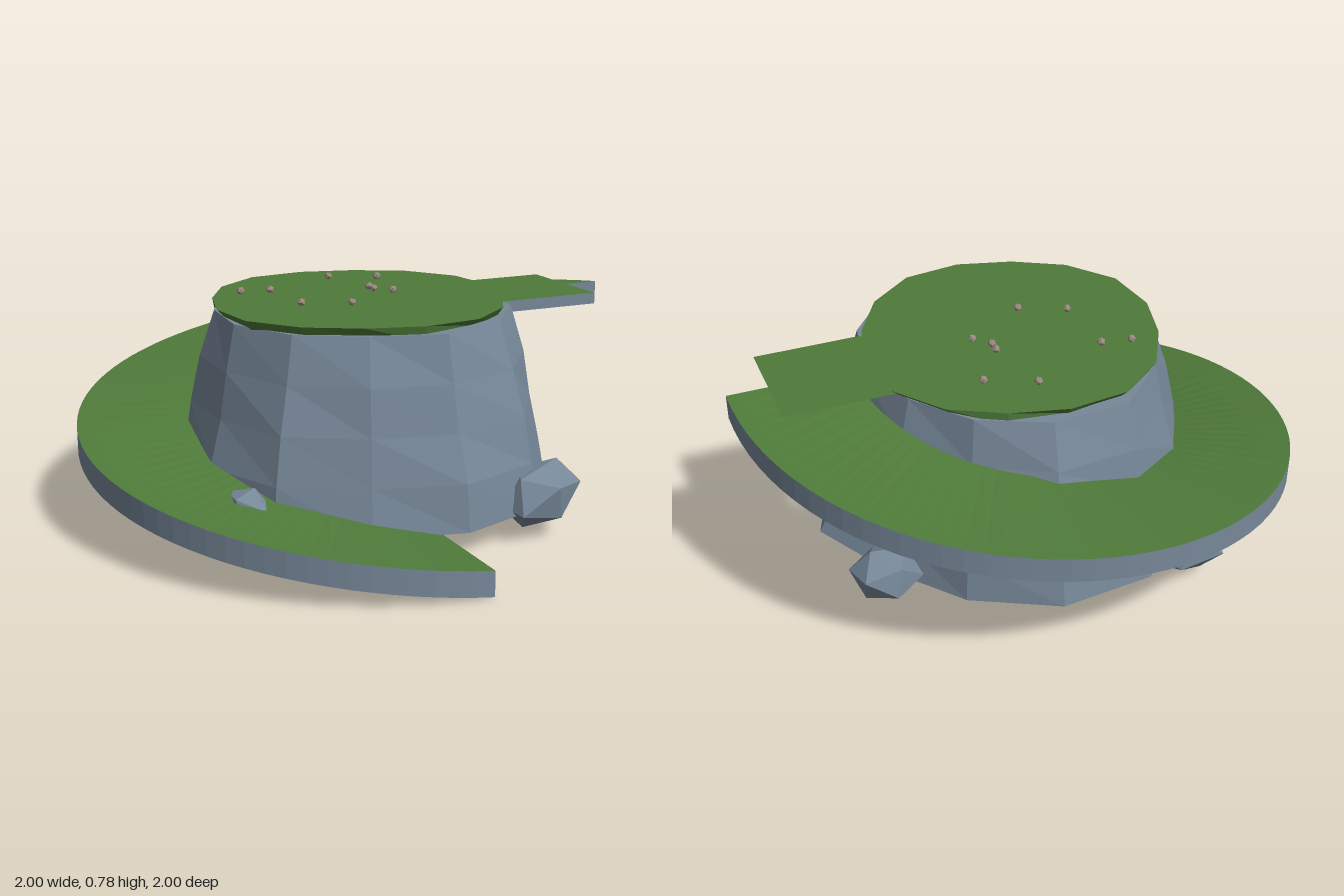
import * as THREE from 'three';

const V = (x, y, z) => new THREE.Vector3(x, y, z);
// point at an angle measured from +x towards +z
const polar = (r, y, deg) => {
  const t = THREE.MathUtils.degToRad(deg);
  return V(r * Math.cos(t), y, r * Math.sin(t));
};

// flat-shaded surface made of quad strips, each between two point rows [a, b]
function strips(pairs) {
  const pos = [];
  const tri = (p, q, r) => {
    if (p !== q && q !== r && p !== r) for (const v of [p, q, r]) pos.push(v.x, v.y, v.z);
  };
  for (const [a, b] of pairs) {
    for (let i = 0; i < a.length - 1; i++) {
      tri(a[i], b[i], b[i + 1]);
      tri(a[i], b[i + 1], a[i + 1]);
    }
  }
  const g = new THREE.BufferGeometry();
  g.setAttribute('position', new THREE.Float32BufferAttribute(pos, 3));
  g.computeVertexNormals();
  return g;
}

// closed ring of n points; radius and height come from functions of the index
function ring(n, radius, height) {
  const pts = [];
  for (let i = 0; i < n; i++) pts.push(polar(radius(i), height(i), (i * 360) / n));
  return [...pts, pts[0]];
}

export function createModel() {
  const group = new THREE.Group();
  const grass = new THREE.MeshStandardMaterial({ name: 'grass', color: 0x4f7a3a, side: THREE.DoubleSide });
  const rock = new THREE.MeshStandardMaterial({ name: 'rock', color: 0x778899 });
  const pebble = new THREE.MeshStandardMaterial({ name: 'pebble', color: 0x9a8a80 });
  const add = (name, geometry, material) => {
    const m = new THREE.Mesh(geometry, material);
    m.name = name;
    group.add(m);
    return m;
  };

  // Rock mound: thirteen sides, irregular base, narrowing upwards
  const base = [0.73, 0.68, 0.71, 0.695, 0.655, 0.68, 0.66, 0.655, 0.66, 0.71, 0.7, 0.66, 0.645];
  const taper = [1, 0.965, 0.91, 0.855, 0.79];
  const mound = taper.map((f, j) =>
    ring(13, (i) => base[i] * f + (j ? 0.008 * Math.sin(i * 2.3 + j * 1.7) : 0), () => 0.09 + j * 0.16));
  // the pointed foot on the +x side flares out only near the ground
  [0.73, 0.645, 0.6, 0.57, 0.53].forEach((r, j) => mound[j][0].setX(r));
  const centreRow = (row, y) => {
    const c = V(0, y, 0);
    return row.map(() => c);
  };
  const moundStrips = mound.slice(1).map((row, j) => [mound[j], row]);
  moundStrips.push([centreRow(mound[0], 0.09), mound[0]]);
  moundStrips.push([mound[4], centreRow(mound[4], 0.73)]);
  add('rockMound', strips(moundStrips), rock);

  // Grass cap with a ragged, drooping rim
  const capTop = ring(16, (i) => 0.53 + 0.015 * Math.sin(i * 1.6 + 3), () => 0.757);
  const capRim = ring(16, (i) => 0.505 + 0.012 * Math.sin(i * 2.1), (i) => 0.717 + 0.013 * Math.sin(i * 2.7));
  add('grassCap', strips([
    [capTop, centreRow(capTop, 0.757)],
    [capRim, capTop],
    [centreRow(capRim, 0.72), capRim],
  ]), grass);

  // Spiral ramp: three quarters of a turn, grass on top and rock beneath
  const N = 72, corners = [[1, 0.087], [0.575, 0.087], [0.575, 0], [1, 0]];
  const [ot, it, ib, ob] = corners.map(([r, dy]) =>
    Array.from({ length: N + 1 }, (_, i) => polar(r, dy + (0.645 * i) / N, 90 + (270 * i) / N)));
  add('rampGrass', strips([[ot, it]]), grass);
  add('rampRock', strips([
    [it, ib], [ib, ob], [ob, ot],
    [[ot[0], it[0]], [ob[0], ib[0]]],
    [[it[N], ot[N]], [ib[N], ob[N]]],
  ]), rock);

  // Thin landing joining the ramp to the cap
  const landing = new THREE.PlaneGeometry(0.38, 0.4).rotateX(-Math.PI / 2);
  add('landing', landing, grass).position.set(0.67, 0.735, 0);

  // Boulders round the foot
  [54, 145, 236, 328].forEach((deg, i) => {
    const b = add('boulder' + (i + 1), new THREE.IcosahedronGeometry(1, 0), rock);
    b.position.copy(polar(0.71, [0.145, 0.16, 0.145, 0.155][i], deg));
    b.scale.set([0.17, 0.08, 0.17, 0.13][i], [0.115, 0.1, 0.11, 0.1][i], 0.115);
    b.rotation.set(0.15, [0.3, 0.4, -0.3, 0.2][i], 0.2);
  });

  // Pebbles scattered on the cap
  const spots = [[-0.36, -0.22], [-0.255, -0.2], [0.04, -0.35], [0.205, -0.275], [0.095, -0.11],
    [0.095, -0.07], [0.145, -0.015], [-0.24, 0.055], [-0.08, 0.125]];
  spots.forEach(([x, z], i) => {
    const p = add('pebble' + (i + 1), new THREE.IcosahedronGeometry(0.015, 0), pebble);
    p.position.set(x, 0.768, z);
    p.rotation.y = i;
  });

  return group;
}
